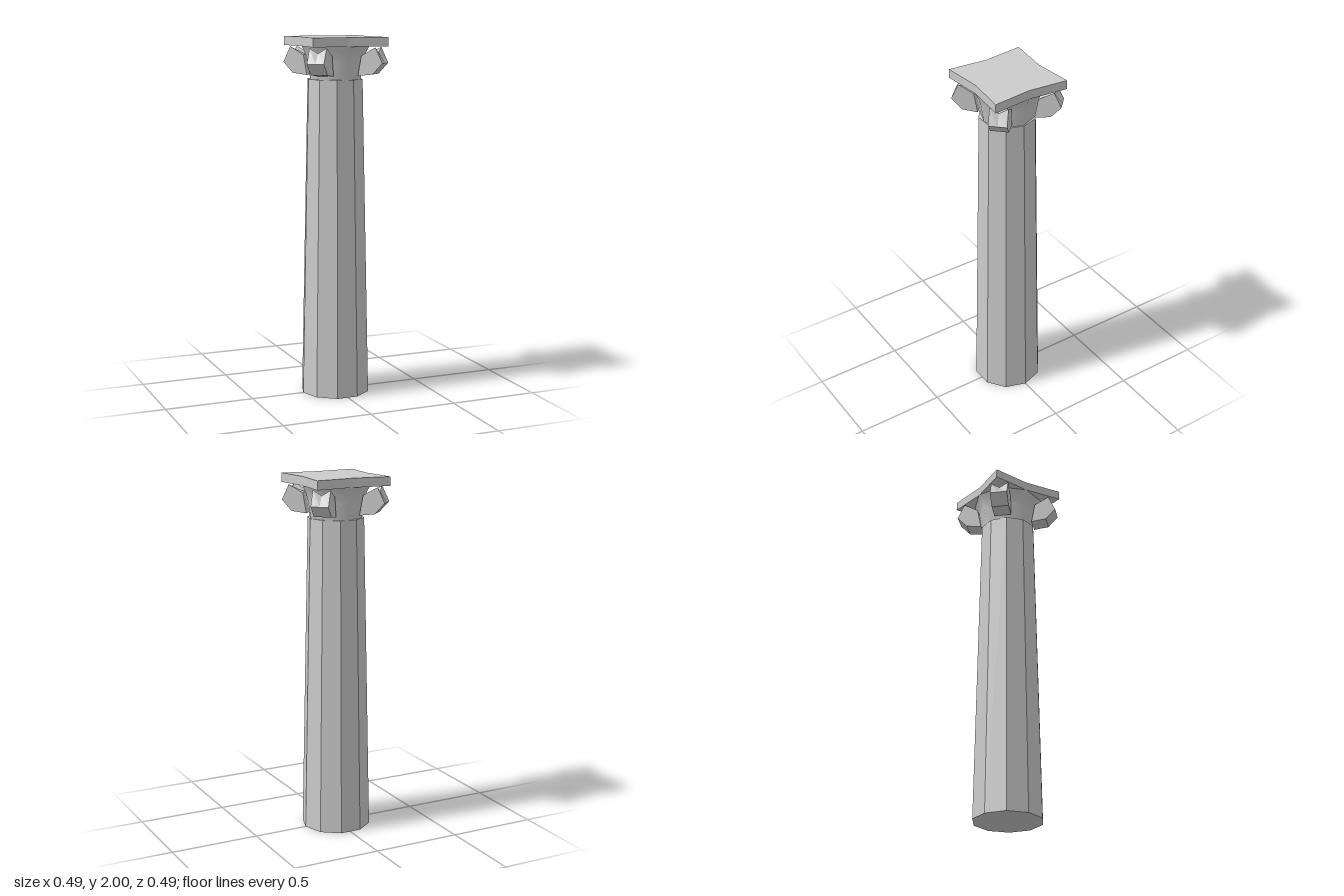
import * as THREE from 'three';

const flat = new THREE.MeshStandardMaterial({ color: 0xcccccc, flatShading: true });
const smooth = new THREE.MeshStandardMaterial({ color: 0xcccccc });

function add(group, name, geometry, material = flat) {
  const mesh = new THREE.Mesh(geometry, material);
  mesh.name = name;
  group.add(mesh);
  return mesh;
}

// Corner scroll: a five-sided profile (radius, height) lofted across its width,
// with the top edge dipping in the middle
function voluteGeometry() {
  const profile = [[0.29, 1.86], [0.25, 1.945], [0.17, 1.9], [0.15, 1.79], [0.235, 1.8]];
  const half = 0.049;
  const sections = [-half, 0, half].map((z) => profile.map(([r, y], i) =>
    [r, z === 0 && i === 1 ? 1.915 : y, z]));
  const n = profile.length;
  const pos = [];
  const tri = (...corners) => corners.forEach((c) => pos.push(...c));
  for (let s = 0; s < 2; s++) {
    for (let i = 0; i < n; i++) {
      const j = (i + 1) % n;
      const [p, q] = [sections[s], sections[s + 1]];
      tri(p[i], p[j], q[j]);
      tri(p[i], q[j], q[i]);
    }
  }
  for (let i = 1; i < n - 1; i++) {
    tri(sections[2][0], sections[2][i], sections[2][i + 1]);
    tri(sections[0][0], sections[0][i + 1], sections[0][i]);
  }
  const geometry = new THREE.BufferGeometry();
  geometry.setAttribute('position', new THREE.Float32BufferAttribute(pos, 3));
  geometry.computeVertexNormals();
  return geometry;
}

export function createModel() {
  const column = new THREE.Group();
  column.name = 'column';

  // Tapering ten-sided shaft
  const shaft = add(column, 'shaft', new THREE.CylinderGeometry(0.156, 0.194, 1.77, 10));
  shaft.rotation.y = Math.PI / 2;
  shaft.position.set(-0.003, 0.885, 0);

  const capital = new THREE.Group();
  capital.name = 'capital';
  column.add(capital);

  // Flared bell
  const bell = [[0.147, 1.765], [0.166, 1.87], [0.177, 1.91], [0.198, 1.95]]
    .map(([r, y]) => new THREE.Vector2(r, y));
  add(capital, 'bell', new THREE.LatheGeometry(bell, 8), smooth);

  // Square top slab with sides drawn in at the middle
  const c = 0.219, m = 0.196;
  const outline = [[c, c], [0, m], [-c, c], [-m, 0], [-c, -c], [0, -m], [c, -c], [m, 0]]
    .map(([x, y]) => new THREE.Vector2(x, y));
  const slab = new THREE.ExtrudeGeometry(new THREE.Shape(outline), { depth: 0.05, bevelEnabled: false });
  slab.rotateX(-Math.PI / 2).translate(0, 1.95, 0);
  add(capital, 'abacus', slab);

  // Four scrolls on the diagonals
  const scroll = voluteGeometry();
  for (let i = 0; i < 4; i++) {
    add(capital, 'volute', scroll).rotation.y = Math.PI / 4 + i * Math.PI / 2 + 0.018;
  }
  return column;
}
